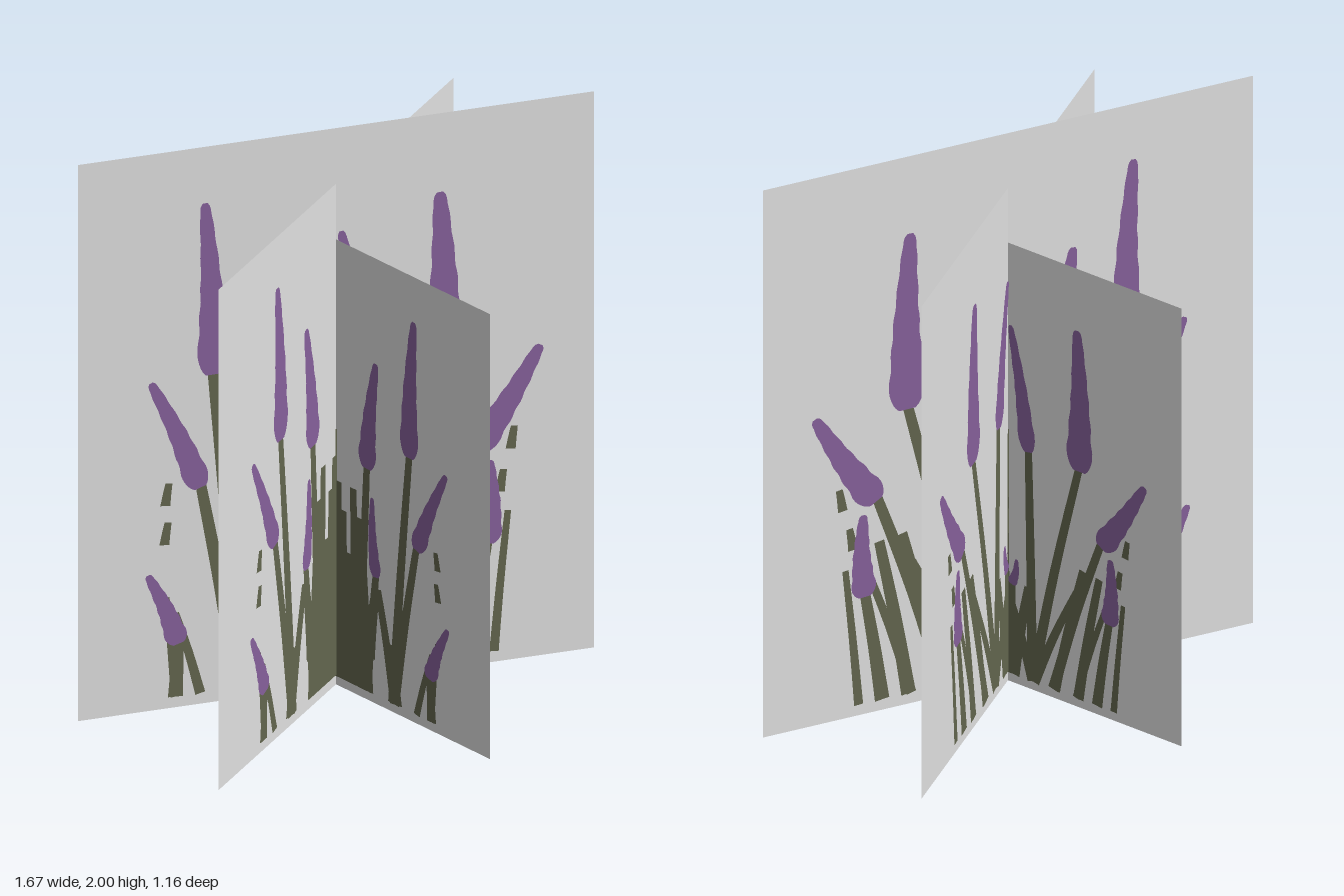
import * as THREE from 'three';
import { mergeGeometries } from 'three/addons/utils/BufferGeometryUtils.js';

const mat = (name, color) => new THREE.MeshStandardMaterial({ name, color, side: THREE.DoubleSide });

// Flat ribbon along a curve; widthAt(t) gives its full width
function ribbon(points, widthAt, steps) {
  const curve = new THREE.SplineCurve(points.map(([x, y]) => new THREE.Vector2(x, y)));
  const left = [], right = [];
  for (let i = 0; i <= steps; i++) {
    const t = i / steps, p = curve.getPoint(t), d = curve.getTangent(t), h = widthAt(t) / 2;
    left.push(new THREE.Vector2(p.x - d.y * h, p.y + d.x * h));
    right.unshift(new THREE.Vector2(p.x + d.y * h, p.y - d.x * h));
  }
  return new THREE.ShapeGeometry(new THREE.Shape([...left, ...right]));
}

// Stem that grows steeply from the ground, leans outward and thins towards its top
function stem(rootX, topX, topY, width, rootY = 0.04) {
  const middle = [THREE.MathUtils.lerp(rootX, topX, 0.46), (rootY + topY) / 2];
  return ribbon([[rootX, rootY], middle, [topX, topY]], (t) => width * (1.1 - 0.35 * t), 8);
}

// Flower spike: narrow foot, full lower part, long taper, slightly lumpy edge
const spikeWidth = (t) =>
  Math.min(0.45 + t * 4.5, 1.1 - 0.8 * t, 0.15 + (1 - t) * 4) * (1 + 0.05 * Math.sin(t * 40));

function flower(footX, footY, tipX, tipY, width) {
  const middle = [(footX + tipX) / 2 + 0.008, (footY + tipY) / 2];
  return ribbon([[footX, footY], middle, [tipX, tipY]], (t) => width * spikeWidth(t), 30);
}

// Flowers with their stems: root x, flower foot x, y, tip x, y, flower width
const plants = [
  [-0.31, -0.40, 1.18, -0.425, 1.80, 0.10],
  [-0.32, -0.44, 0.78, -0.60, 1.18, 0.085],
  [-0.13, -0.17, 1.04, -0.22, 1.53, 0.095],
  [-0.17, -0.22, 0.57, -0.20, 0.92, 0.062],
  [-0.52, -0.51, 0.23, -0.61, 0.49, 0.075],
  [0.12, 0.10, 1.08, 0.015, 1.63, 0.082],
  [0.12, 0.345, 1.08, 0.335, 1.72, 0.125],
  [0.22, 0.45, 0.77, 0.66, 1.12, 0.105],
  [0.43, 0.49, 0.43, 0.495, 0.73, 0.085],
  [0.02, 0.02, 0.45, 0.045, 0.57, 0.045],
];

// Leaves: root x, top x, top y, width
const leaves = [
  [-0.52, -0.55, 0.40, 0.028], [-0.44, -0.52, 0.34, 0.03],
  [-0.33, -0.30, 0.30, 0.055], [-0.32, -0.23, 0.52, 0.045],
  [0.12, 0.00, 0.42, 0.045], [0.03, 0.10, 0.46, 0.05],
  [0.13, 0.33, 0.52, 0.04], [0.23, 0.36, 0.63, 0.04],
  [0.34, 0.44, 0.62, 0.045], [0.33, 0.50, 0.58, 0.03],
  [0.51, 0.555, 0.54, 0.028],
];

// Loose leaf tips: x, y
const tips = [[-0.55, 0.63], [-0.547, 0.77], [0.535, 0.65], [0.57, 0.80]];

export function createModel() {
  const sheetMat = mat('pale grey', 0xe0e0e0);
  const stemMat = mat('olive stem', 0x63664e);
  const flowerMat = mat('lavender purple', 0x86609b);

  const greenery = [
    ...plants.map(([root, x, y]) => stem(root, x, y + 0.02, 0.045)),
    ...leaves.map((leaf) => stem(...leaf)),
    ...tips.map(([x, y]) => stem(x - 0.006, x + 0.006, y + 0.04, 0.03, y - 0.04)),
  ];
  // Dense clump of upright blades in the middle, joined by a broad patch
  for (let i = 0; i < 6; i++) {
    greenery.push(stem(-0.18 + 0.034 * i, -0.15 + 0.027 * i, [0.62, 0.80, 0.92][i % 3], 0.045));
  }
  greenery.push(stem(-0.09, -0.09, 0.50, 0.15, 0.22), stem(-0.18, -0.21, 0.46, 0.06, 0.2));

  const sheetGeo = new THREE.PlaneGeometry(1.668, 2).translate(0, 1, 0);
  const stemGeo = mergeGeometries(greenery);
  const flowerGeo = mergeGeometries(plants.map(([, ...spike]) => flower(...spike)));

  const model = new THREE.Group();
  model.name = 'lavenderPlant';

  // Three crossed sheets, each painted alike on both faces
  const sheets = [['wideSheet', 0, 1], ['middleSheet', 45, 0.9], ['smallSheet', 120, 0.8]];
  for (const [name, angle, size] of sheets) {
    const group = new THREE.Group();
    group.name = name;
    const add = (part, geo, material, z) => {
      const mesh = new THREE.Mesh(geo, material);
      mesh.name = part;
      mesh.position.z = z;
      group.add(mesh);
    };
    add('sheet', sheetGeo, sheetMat, 0);
    for (const side of [1, -1]) {
      add('stems', stemGeo, stemMat, side * 0.003);
      add('flowers', flowerGeo, flowerMat, side * 0.005);
    }
    group.rotation.y = THREE.MathUtils.degToRad(angle);
    group.scale.setScalar(size);
    model.add(group);
  }
  return model;
}
